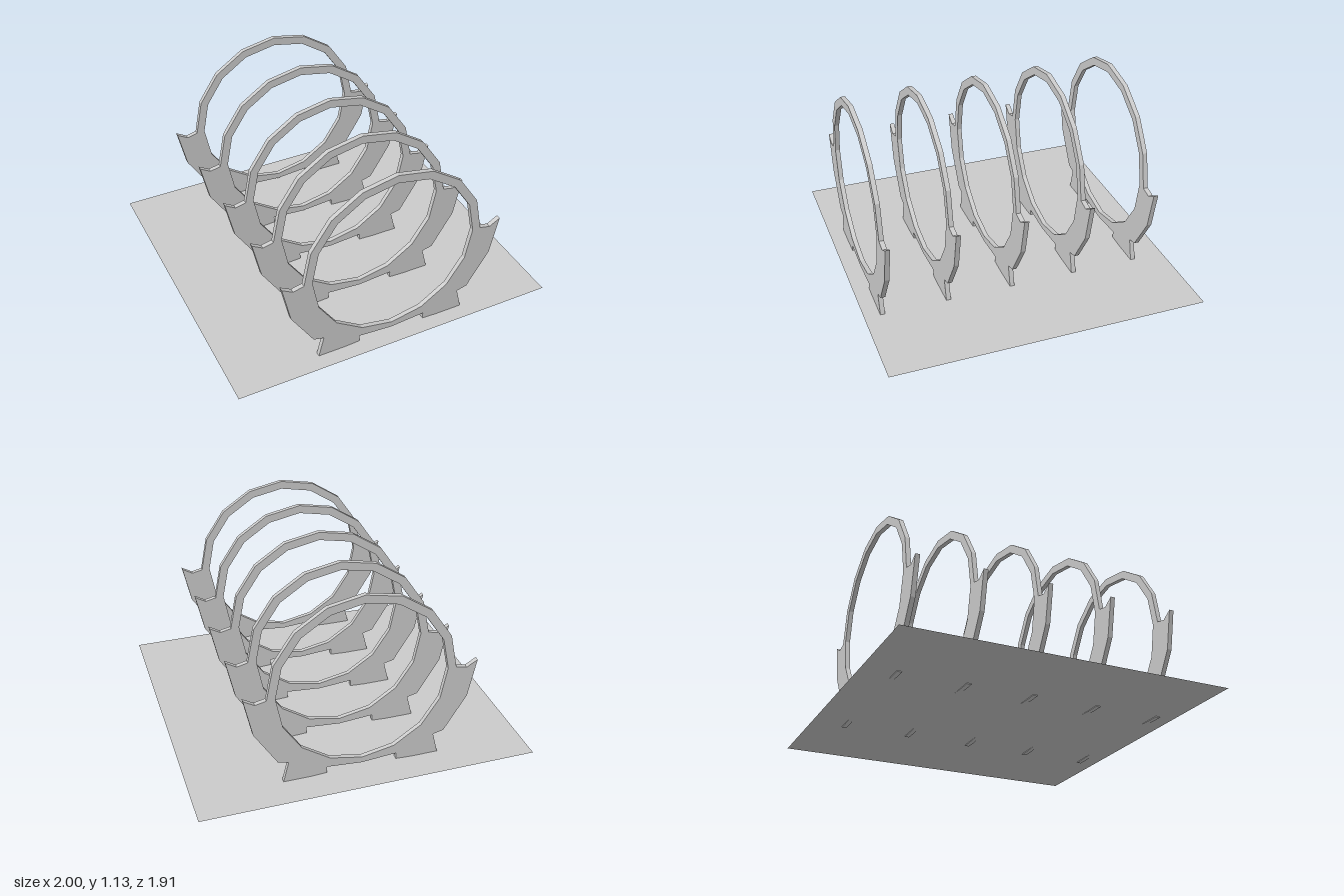
import * as THREE from 'three';

const CENTRE_Y = 0.575, INNER_R = 0.505, OUTER_R = 0.555, SIDES = 16;
const THICKNESS = 0.028, FRAME_COUNT = 5, FRONT_Z = 0.846, SPACING = 0.4;

// Point on a 16-sided ring, step 0 at +x, counting upwards.
const ringPoint = (radius, step) => {
  const a = (step / SIDES) * Math.PI * 2;
  return new THREE.Vector2(Math.cos(a) * radius, CENTRE_Y + Math.sin(a) * radius);
};

// Ring, side horns and feet as one flat plate with a round opening.
function frameGeometry() {
  // Left half below the ring: bottom centre, foot, cradle, horn, notch.
  const lower = [
    [0, 0.033], [0.21, 0.05], [0.21, 0.01], [0.4, 0], [0.47, 0], [0.437, 0.135],
    [0.5, 0.15], [0.635, 0.365], [0.685, 0.598], [0.62, 0.56],
  ].map(([x, y]) => new THREE.Vector2(x, y));
  const arc = Array.from({ length: SIDES / 2 + 1 }, (_, i) => ringPoint(OUTER_R, i));
  const mirrored = lower.slice(1).reverse().map((p) => new THREE.Vector2(-p.x, p.y));

  const shape = new THREE.Shape([...lower, ...arc, ...mirrored]);
  const hole = Array.from({ length: SIDES }, (_, i) => ringPoint(INNER_R, -i));
  shape.holes.push(new THREE.Path(hole));

  const geometry = new THREE.ExtrudeGeometry(shape, { depth: THICKNESS, bevelEnabled: false });
  return geometry.translate(0, 0, -THICKNESS / 2);
}

export function createModel() {
  const model = new THREE.Group();
  model.name = 'ringFrameRack';

  // Thin ground sheet, pierced slightly by the feet
  const sheet = new THREE.Mesh(
    new THREE.PlaneGeometry(2, 1.91).rotateX(-Math.PI / 2),
    new THREE.MeshStandardMaterial({ color: 0xcccccc, side: THREE.DoubleSide }),
  );
  sheet.name = 'baseSheet';
  sheet.position.y = 0.005;
  model.add(sheet);

  // Row of identical ring frames
  const geometry = frameGeometry();
  const material = new THREE.MeshStandardMaterial({ color: 0xcccccc, flatShading: true });
  for (let i = 0; i < FRAME_COUNT; i++) {
    const frame = new THREE.Mesh(geometry, material);
    frame.name = `ringFrame${i + 1}`;
    frame.position.z = FRONT_Z - i * SPACING;
    model.add(frame);
  }
  return model;
}
